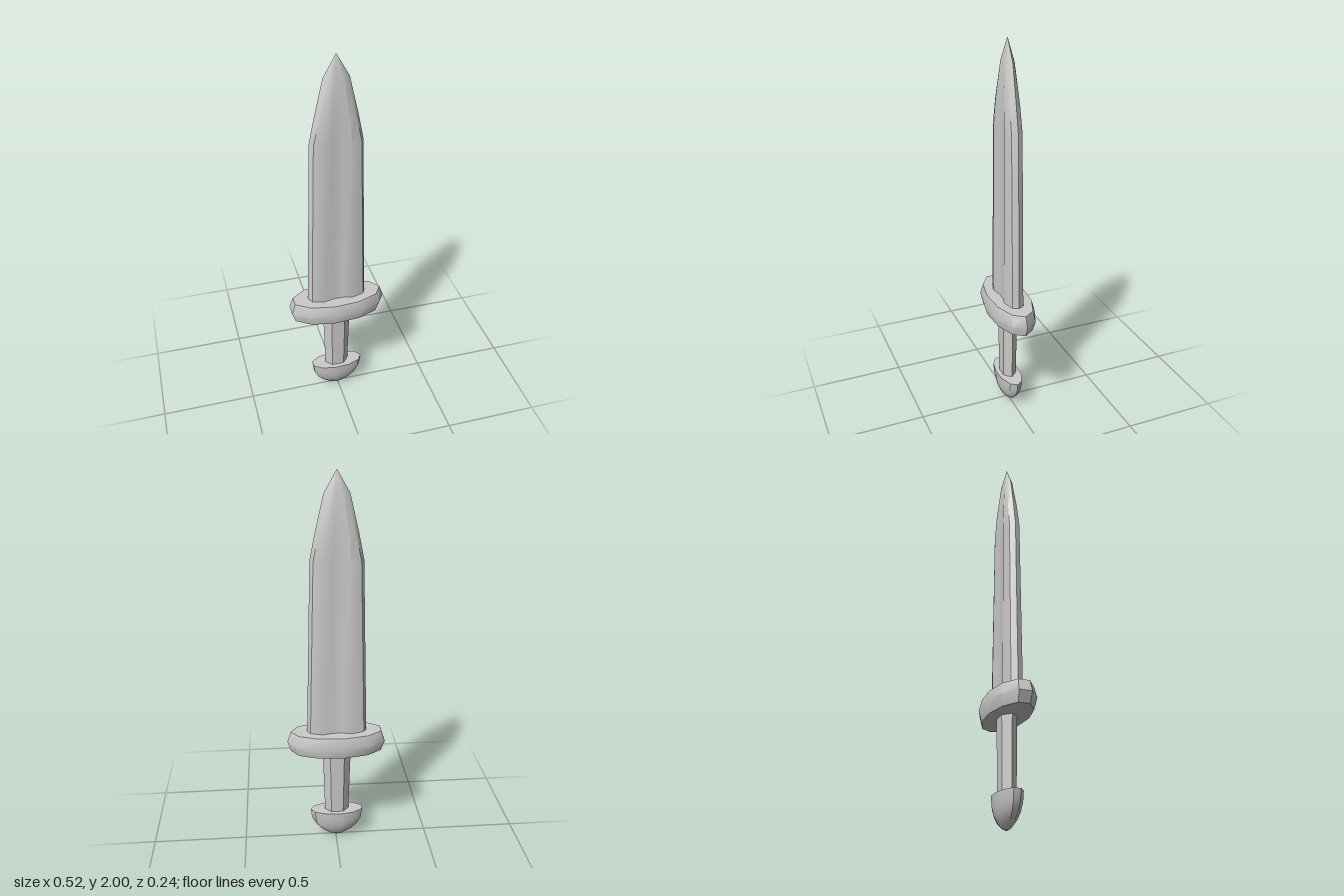
import * as THREE from 'three';
import { toCreasedNormals } from 'three/addons/utils/BufferGeometryUtils.js';

const CENTER_X = -0.006;
const SIDES = 11;

// Skins a stack of rings (arrays of [x, z], counter-clockwise from +x towards -z) and caps both ends.
function loft(levels, crease) {
  const pos = [], idx = [];
  const n = levels[0].ring.length;
  for (const { y, ring } of levels) for (const [x, z] of ring) pos.push(x, y, z);
  for (let l = 0; l < levels.length - 1; l++) {
    for (let i = 0; i < n; i++) {
      const a = l * n + i, b = l * n + (i + 1) % n;
      idx.push(a, b, b + n, a, b + n, a + n);
    }
  }
  [0, levels.length - 1].forEach((l, top) => {
    const c = pos.length / 3;
    pos.push(0, levels[l].y, 0);
    for (let i = 0; i < n; i++) {
      const a = l * n + i, b = l * n + (i + 1) % n;
      if (top) idx.push(c, a, b);
      else idx.push(c, b, a);
    }
  });
  const geo = new THREE.BufferGeometry();
  geo.setAttribute('position', new THREE.Float32BufferAttribute(pos, 3));
  geo.setIndex(idx);
  return toCreasedNormals(geo, crease);
}

// Elliptical ring with one corner on +x
function ellipse(rx, rz) {
  return Array.from({ length: SIDES }, (_, i) => {
    const t = (i / SIDES) * Math.PI * 2;
    return [rx * Math.cos(t), -rz * Math.sin(t)];
  });
}

// Mirrors a quarter profile, running from the +x edge inwards, into a full ring
function mirrorRing([edge, ...rest]) {
  const back = rest.map(([x, z]) => [x, -z]);
  const left = rest.map(([x, z]) => [-x, -z]).reverse();
  const half = [[edge, 0], ...back, ...left];
  return [...half, ...half.map(([x, z]) => [-x, -z])];
}

export function createModel() {
  const group = new THREE.Group();
  group.name = 'shortSword';
  const material = new THREE.MeshStandardMaterial({ color: 0xcccccc });
  const add = (name, geometry) => {
    const mesh = new THREE.Mesh(geometry, material);
    mesh.name = name;
    mesh.position.x = CENTER_X;
    group.add(mesh);
  };

  // Blade: bevelled edges, two ridges and a shallow central groove fading out near the point
  const blade = [
    // y, edge x, shoulder x/z, ridge x/z, groove x/z
    [0.60, 0.158, 0.142, 0.030, 0.077, 0.050, 0.027, 0.037],
    [1.57, 0.133, 0.117, 0.028, 0.066, 0.045, 0.023, 0.034],
    [1.70, 0.107, 0.090, 0.026, 0.056, 0.039, 0.020, 0.034],
    [1.89, 0.063, 0.047, 0.014, 0.030, 0.023, 0.010, 0.024],
    [2.00, 0, 0, 0, 0, 0, 0, 0],
  ].map(([y, e, sx, sz, rx, rz, gx, gz]) => ({
    y, ring: mirrorRing([e, [sx, sz], [rx, rz], [gx, gz]]),
  }));
  add('blade', loft(blade, 0.6));

  // Guard: elliptical plate with a bulging rim
  const guard = [
    [0.535, 0.243, 0.104],
    [0.592, 0.263, 0.119],
    [0.650, 0.243, 0.104],
  ].map(([y, rx, rz]) => ({ y, ring: ellipse(rx, rz) }));
  add('guard', loft(guard, 0.6));

  // Grip: six-sided, slightly wider towards the guard
  const grip = [
    [0.15, 0.064, 0.032, 0.036],
    [0.56, 0.076, 0.038, 0.040],
  ].map(([y, e, x, z]) => ({ y, ring: mirrorRing([e, [x, z]]) }));
  add('grip', loft(grip, 0.4));

  // Pommel: flattened half dome with a flat top
  const pommel = [
    [0.000, 0.015, 0.007],
    [0.010, 0.038, 0.020],
    [0.036, 0.083, 0.038],
    [0.070, 0.115, 0.052],
    [0.112, 0.137, 0.060],
    [0.165, 0.144, 0.063],
  ].map(([y, rx, rz]) => ({ y, ring: ellipse(rx, rz) }));
  add('pommel', loft(pommel, 0.6));

  return group;
}
